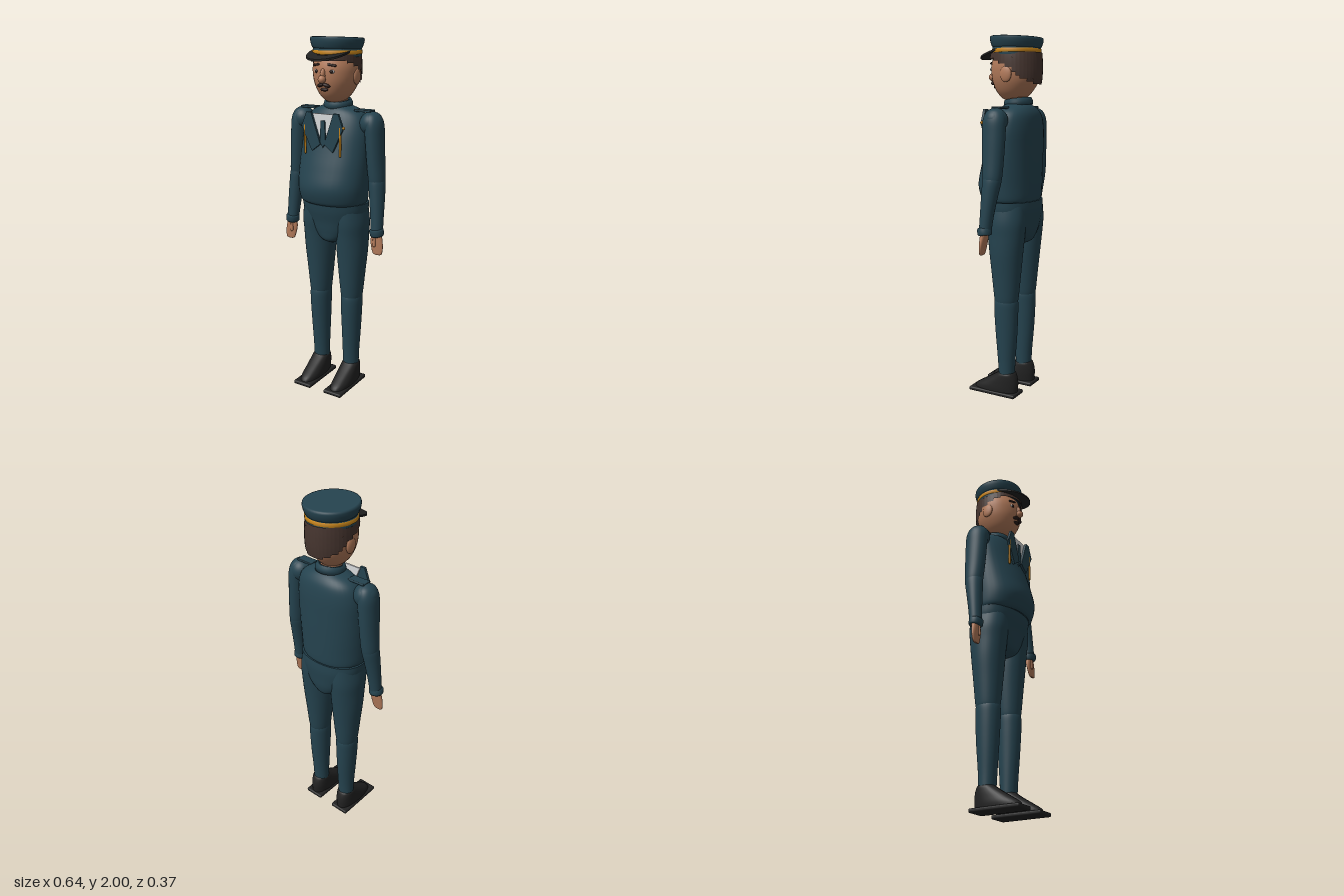
import * as THREE from 'three';
import { RoundedBoxGeometry } from 'three/addons/geometries/RoundedBoxGeometry.js';

const mat = (name, color, side = THREE.FrontSide) => {
  const m = new THREE.MeshStandardMaterial({ color, side });
  m.name = name;
  return m;
};

// Smooth closed body through elliptical sections [y, centreX, centreZ, radiusX, radiusZ], lowest first
function loft(sections, power = 1, seg = 36) {
  const pos = [], idx = [], sub = 5, n = (sections.length - 1) * sub;
  const at = (t, k) => {
    const i = Math.min(Math.floor(t), sections.length - 2), f = t - i;
    const v = (j) => sections[Math.max(0, Math.min(sections.length - 1, j))][k];
    const a = v(i), b = v(i + 1), ta = (b - v(i - 1)) / 2, tb = (v(i + 2) - a) / 2;
    return a + f * (ta + f * (3 * (b - a) - 2 * ta - tb + f * (2 * (a - b) + ta + tb)));
  };
  const shape = (v) => Math.sign(v) * Math.abs(v) ** power;
  for (let r = 0; r <= n; r++) {
    const [y, cx, cz, rx, rz] = [0, 1, 2, 3, 4].map((k) => at(r / sub, k));
    for (let j = 0; j < seg; j++) {
      const a = (j / seg) * Math.PI * 2;
      pos.push(cx + rx * shape(Math.cos(a)), y, cz + rz * shape(Math.sin(a)));
      if (r === n) continue;
      const p = r * seg + j, q = r * seg + ((j + 1) % seg);
      idx.push(p, p + seg, q, q, p + seg, q + seg);
    }
  }
  // End caps with their own vertices so the rims stay crisp
  for (const [r, top] of [[0, false], [n, true]]) {
    const s = sections[top ? sections.length - 1 : 0], base = pos.length / 3;
    for (let j = 0; j < seg; j++) pos.push(...pos.slice((r * seg + j) * 3, (r * seg + j) * 3 + 3));
    pos.push(s[1], s[0], s[2]);
    for (let j = 0; j < seg; j++) {
      const a = base + j, b = base + ((j + 1) % seg);
      idx.push(base + seg, top ? b : a, top ? a : b);
    }
  }
  const g = new THREE.BufferGeometry();
  g.setAttribute('position', new THREE.Float32BufferAttribute(pos, 3));
  g.setIndex(idx);
  g.computeVertexNormals();
  return g;
}

// Flat plate facing +z
function plate(points, depth) {
  const s = new THREE.Shape(points.map(([x, y]) => new THREE.Vector2(x, y)));
  return new THREE.ExtrudeGeometry(s, { depth, bevelEnabled: false });
}

const lathe = (pts) => new THREE.LatheGeometry(pts.map(([r, y]) => new THREE.Vector2(r, y)), 48);

// Shell around the back of the head with a stepped lower edge
function hairShell() {
  const pos = [], idx = [], cols = 44, rows = 6;
  const edge = (a) => {
    const d = Math.abs(a) / Math.PI;
    const steps = [[0.3, 1.875], [0.42, 1.862], [0.5, 1.845], [0.57, 1.825], [0.63, 1.80], [0.7, 1.78], [0.78, 1.765], [0.88, 1.75], [2, 1.738]];
    return steps.find((s) => d < s[0])[1];
  };
  for (let c = 0; c < cols; c++) {
    const a0 = -Math.PI + (c / cols) * 2 * Math.PI, a1 = a0 + (2 * Math.PI) / cols;
    const low = edge((a0 + a1) / 2), base = pos.length / 3;
    for (let r = 0; r <= rows; r++) {
      const y = low + ((1.905 - low) * r) / rows;
      const k = 1 - 4 * Math.max(0, 1.8 - y) ** 1.6 - 6 * Math.max(0, y - 1.84) ** 2;
      for (const a of [a0, a1]) pos.push(0.131 * k * Math.sin(a), y, -0.037 + 0.147 * k * Math.cos(a));
      if (r < rows) {
        const p = base + r * 2;
        idx.push(p, p + 1, p + 2, p + 1, p + 3, p + 2);
      }
    }
  }
  const g = new THREE.BufferGeometry();
  g.setAttribute('position', new THREE.Float32BufferAttribute(pos, 3));
  g.setIndex(idx);
  g.computeVertexNormals();
  return g;
}

export function createModel() {
  const model = new THREE.Group();
  model.name = 'uniformedMan';
  const navy = mat('navyCloth', 0x25434f), skin = mat('skin', 0xb27a5a), gold = mat('goldTrim', 0xc9861a);
  const black = mat('blackLeather', 0x222222), hair = mat('brownHair', 0x46352f, THREE.DoubleSide);
  const white = mat('whiteShirt', 0xd8dadb), dark = mat('darkFace', 0x2a1d1a);
  const add = (name, geo, m, x = 0, y = 0, z = 0, parent = model) => {
    const mesh = new THREE.Mesh(geo, m);
    mesh.name = name;
    mesh.position.set(x, y, z);
    parent.add(mesh);
    return mesh;
  };

  // Jacket body and trouser seat
  add('jacket', loft([
    [1.105, 0, -0.015, 0.18, 0.14], [1.125, 0, -0.01, 0.195, 0.153], [1.2, 0, -0.003, 0.203, 0.163],
    [1.3, 0, -0.015, 0.206, 0.152], [1.4, 0, -0.03, 0.205, 0.137], [1.5, 0, -0.044, 0.2, 0.122],
    [1.57, 0, -0.052, 0.18, 0.105], [1.61, 0, -0.052, 0.14, 0.085], [1.635, 0, -0.05, 0.075, 0.06]], 0.92), navy);
  add('trouserSeat', loft([
    [0.868, 0, -0.034, 0.03, 0.06], [0.89, 0, -0.034, 0.075, 0.1], [0.94, 0, -0.036, 0.13, 0.117],
    [1.0, 0, -0.034, 0.168, 0.127], [1.06, 0, -0.029, 0.19, 0.138], [1.11, 0, -0.024, 0.195, 0.142]], 0.9), navy);

  // Neck and tilted collar
  add('neck', new THREE.CylinderGeometry(0.052, 0.058, 0.09, 32), skin, 0, 1.655, -0.045);
  const collar = add('collar', lathe([[0.056, -0.022], [0.078, -0.022], [0.08, 0], [0.073, 0.018], [0.06, 0.018], [0.056, -0.022]]), navy, 0, 1.645, -0.05);
  collar.rotation.x = 0.13;

  // Shirt front, tie, lapels and cords
  add('shirtFront', plate([[-0.075, 1.6], [0, 1.42], [0.075, 1.6]], 0.009), white, 0, 0, 0.09);
  add('tie', plate([[-0.012, 1.565], [-0.018, 1.45], [0, 1.42], [0.018, 1.45], [0.012, 1.565]], 0.009), navy, 0, 0, 0.098);

  for (const s of [-1, 1]) {
    const side = s > 0 ? 'left' : 'right';
    const lapel = [[0.07, 1.607], [0.1, 1.607], [0.13, 1.53], [0.065, 1.4], [0.012, 1.44]].map(([x, y]) => [x * s, y]);
    add(side + 'Lapel', plate(lapel, 0.014), navy, 0, 0, 0.099);
    add(side + 'Cord', new THREE.CapsuleGeometry(0.006, 0.15, 4, 10), gold, s * 0.111, 1.46, 0.108);
    add(side + 'Pin', new THREE.CylinderGeometry(0.006, 0.006, 0.02, 10), navy, s * 0.122, 1.535, 0.106).rotation.z = Math.PI / 2;

    // Leg, split at the knee
    add(side + 'Thigh', loft([
      [0.545, s * 0.105, -0.033, 0.056, 0.064], [0.57, s * 0.105, -0.034, 0.062, 0.07], [0.7, s * 0.105, -0.034, 0.075, 0.083],
      [0.82, s * 0.106, -0.034, 0.086, 0.095], [0.92, s * 0.106, -0.034, 0.09, 0.106], [1.0, s * 0.105, -0.032, 0.093, 0.115],
      [1.09, s * 0.098, -0.03, 0.088, 0.115]]), navy);
    add(side + 'Shin', loft([
      [0.1, s * 0.102, -0.035, 0.046, 0.045], [0.2, s * 0.102, -0.034, 0.048, 0.05], [0.35, s * 0.104, -0.034, 0.054, 0.062],
      [0.48, s * 0.105, -0.033, 0.059, 0.069], [0.55, s * 0.105, -0.033, 0.059, 0.068], [0.58, s * 0.105, -0.033, 0.045, 0.05]]), navy);

    // Shoe
    add(side + 'Sole', new RoundedBoxGeometry(0.117, 0.022, 0.295, 3, 0.009), black, s * 0.1035, 0.011, 0.037);
    add(side + 'Shoe', loft([
      [0.015, s * 0.1035, 0.035, 0.052, 0.135], [0.04, s * 0.1035, 0.026, 0.054, 0.128], [0.07, s * 0.103, 0.002, 0.053, 0.105],
      [0.1, s * 0.103, -0.02, 0.051, 0.078], [0.125, s * 0.103, -0.034, 0.048, 0.054], [0.135, s * 0.103, -0.036, 0.04, 0.044]], 0.85), black);

    // Arm, cuff and hand
    add(side + 'Shoulder', new THREE.SphereGeometry(0.064, 32, 20), navy, s * 0.218, 1.55, -0.035);
    add(side + 'UpperArm', loft([
      [1.225, s * 0.257, -0.035, 0.038, 0.045], [1.25, s * 0.256, -0.035, 0.045, 0.053], [1.35, s * 0.248, -0.035, 0.047, 0.06],
      [1.47, s * 0.24, -0.035, 0.049, 0.065], [1.55, s * 0.234, -0.035, 0.049, 0.064], [1.595, s * 0.226, -0.035, 0.038, 0.046],
      [1.614, s * 0.22, -0.035, 0.012, 0.014]]), navy);
    add(side + 'Forearm', loft([
      [0.96, s * 0.279, -0.002, 0.033, 0.033], [1.06, s * 0.273, -0.012, 0.037, 0.038], [1.16, s * 0.265, -0.024, 0.042, 0.046],
      [1.24, s * 0.257, -0.034, 0.045, 0.052], [1.27, s * 0.255, -0.035, 0.035, 0.042]]), navy);
    const cuff = add(side + 'Cuff', lathe([[0, -0.02], [0.034, -0.02], [0.039, -0.013], [0.039, 0.013], [0.034, 0.02], [0, 0.02]]), navy, s * 0.28, 0.967, 0);
    cuff.rotation.set(0.12, 0, s * 0.1);
    add(side + 'Hand', loft([
      [0.842, s * 0.291, 0.009, 0.016, 0.005], [0.85, s * 0.29, 0.009, 0.028, 0.008], [0.88, s * 0.287, 0.007, 0.035, 0.011],
      [0.92, s * 0.282, 0.004, 0.036, 0.015], [0.97, s * 0.28, 0, 0.026, 0.018]], 0.85), skin);
    add(side + 'Thumb', new THREE.CapsuleGeometry(0.009, 0.045, 4, 12), skin, s * 0.275, 0.918, 0.017).rotation.x = -0.1;

    // Shoulder strap
    add(side + 'Epaulette', new RoundedBoxGeometry(0.1, 0.013, 0.053, 2, 0.004), navy, s * 0.173, 1.615, -0.037);

    // Ears, eyes, brows and moustache halves
    add(side + 'Ear', new THREE.SphereGeometry(1, 20, 14), skin, s * 0.122, 1.79, -0.04).scale.set(0.012, 0.042, 0.034);
    add(side + 'EyeWhite', new THREE.SphereGeometry(1, 18, 12), white, s * 0.046, 1.82, 0.086).scale.set(0.015, 0.011, 0.008);
    add(side + 'Pupil', new THREE.SphereGeometry(0.01, 16, 12), dark, s * 0.046, 1.82, 0.089);
    const brow = add(side + 'Brow', new THREE.CapsuleGeometry(0.006, 0.036, 4, 10), dark, s * 0.048, 1.853, 0.089);
    brow.rotation.set(0, s * 0.35, Math.PI / 2 - s * 0.15);
    const tache = add(side + 'Moustache', new THREE.SphereGeometry(1, 18, 12), dark, s * 0.018, 1.749, 0.097);
    tache.scale.set(0.023, 0.01, 0.012);
    tache.rotation.set(0, s * 0.25, -s * 0.3);
  }
  add('goldPin', new THREE.SphereGeometry(0.008, 12, 10), gold, 0.13, 1.535, 0.106);

  // Head, nose, mouth and hair
  add('head', loft([
    [1.652, 0, -0.025, 0.025, 0.035], [1.665, 0, -0.025, 0.055, 0.067], [1.7, 0, -0.028, 0.088, 0.1], [1.75, 0, -0.033, 0.113, 0.126],
    [1.8, 0, -0.035, 0.124, 0.136], [1.85, 0, -0.036, 0.125, 0.134], [1.91, 0, -0.04, 0.112, 0.118]]), skin);
  add('noseBridge', new THREE.SphereGeometry(1, 18, 14), skin, 0, 1.802, 0.1).scale.set(0.014, 0.034, 0.018);
  add('noseTip', new THREE.SphereGeometry(0.021, 20, 14), skin, 0, 1.78, 0.112);
  add('mouth', new THREE.SphereGeometry(1, 18, 12), dark, 0, 1.726, 0.088).scale.set(0.023, 0.009, 0.01);
  add('hair', hairShell(), hair);

  // Peaked cap
  const cap = new THREE.Group();
  cap.name = 'cap';
  cap.position.set(0, 1.89, -0.04);
  model.add(cap);
  add('capBand', lathe([[0, 0], [0.128, 0], [0.13, 0.004], [0.13, 0.058], [0, 0.058]]), navy, 0, 0, 0, cap);
  add('capStripe', lathe([[0.128, 0.014], [0.134, 0.016], [0.134, 0.034], [0.128, 0.036]]), gold, 0, 0, 0, cap);
  const crown = add('capCrown', lathe([[0, -0.045], [0.127, -0.045], [0.134, -0.035], [0.142, -0.014], [0.145, 0.004], [0.143, 0.014], [0.135, 0.017], [0, 0.017]]), navy, 0, 0.083, 0, cap);
  crown.rotation.x = -0.05;

  // Visor sloping down to the front
  const shape = new THREE.Shape();
  shape.moveTo(-0.118, 0.02);
  shape.bezierCurveTo(-0.12, 0.22, 0.12, 0.22, 0.118, 0.02);
  shape.lineTo(-0.118, 0.02);
  const visor = new THREE.ExtrudeGeometry(shape, { depth: 0.01, bevelEnabled: false, curveSegments: 32 }).rotateX(Math.PI / 2);
  const p = visor.attributes.position;
  for (let i = 0; i < p.count; i++) p.setY(i, p.getY(i) + 1.917 - 0.27 * (p.getZ(i) - 0.05));
  visor.computeVertexNormals();
  add('visor', visor, black);
  return model;
}
